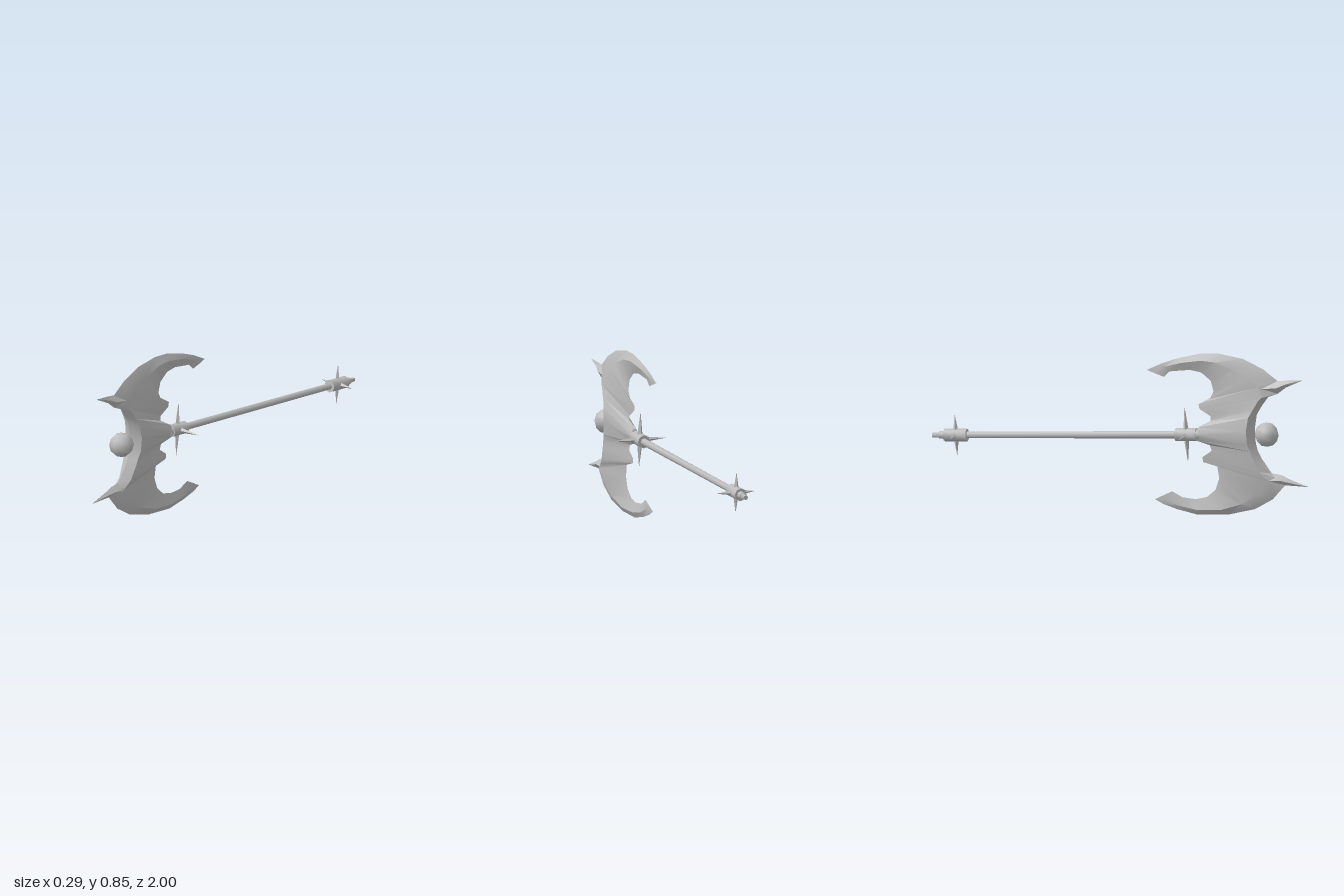
import * as THREE from 'three';
import { toCreasedNormals } from 'three/addons/utils/BufferGeometryUtils.js';

const steel = new THREE.MeshStandardMaterial({ color: 0xbcbcbc });
steel.name = 'steel';

function add(parent, geometry, name) {
  const mesh = new THREE.Mesh(geometry, steel);
  mesh.name = name;
  parent.add(mesh);
  return mesh;
}

// Loft through rings of equal length, sharp edges kept
function loft(rings) {
  const n = rings[0].length, index = [];
  for (let i = 0; i < rings.length - 1; i++) {
    for (let j = 0; j < n; j++) {
      const a = i * n + j, b = i * n + (j + 1) % n;
      index.push(a, a + n, b + n, a, b + n, b);
    }
  }
  const g = new THREE.BufferGeometry();
  g.setAttribute('position', new THREE.Float32BufferAttribute(rings.flat(2), 3));
  g.setIndex(index);
  return toCreasedNormals(g, 0.6);
}

// Blade stations, top tip to bottom tip:
// outer z, y, inner z, y, ridge position from outer to inner, half thickness, back half thickness
const upper = [
  [0.14, 0.74, 0.23, 0.71, 0.5, 0.002, 0],
  [0.22, 0.78, 0.26, 0.74, 0.4, 0.008, 0],
  [0.30, 0.81, 0.37, 0.755, 0.35, 0.014, 0],
  [0.43, 0.845, 0.43, 0.745, 0.35, 0.019, 0],
  [0.52, 0.85, 0.48, 0.705, 0.3, 0.022, 0],
  [0.65, 0.83, 0.495, 0.65, 0.3, 0.025, 0],
  [0.755, 0.785, 0.475, 0.61, 0.25, 0.028, 0],
  [0.835, 0.727, 0.415, 0.58, 0.22, 0.03, 0],
  [0.835, 0.66, 0.42, 0.555, 0.18, 0.034, 0],
  [0.785, 0.64, 0.48, 0.52, 0.14, 0.038, 0],
  [0.75, 0.59, 0.48, 0.497, 0.12, 0.044, 0],
  [0.725, 0.545, 0.415, 0.46, 0.1, 0.05, 0.01],
];
const lower = [
  [0.714, 0.47, 0.405, 0.423, 0.1, 0.055, 0.022],
  [0.72, 0.395, 0.41, 0.39, 0.1, 0.052, 0.01],
  [0.73, 0.36, 0.475, 0.37, 0.1, 0.048, 0],
  [0.75, 0.32, 0.485, 0.342, 0.12, 0.045, 0],
  [0.805, 0.245, 0.435, 0.305, 0.15, 0.038, 0],
  [0.86, 0.215, 0.44, 0.28, 0.2, 0.032, 0],
  [0.875, 0.187, 0.515, 0.262, 0.22, 0.029, 0],
  [0.81, 0.11, 0.525, 0.2, 0.28, 0.026, 0],
  [0.715, 0.053, 0.505, 0.14, 0.3, 0.023, 0],
  [0.57, 0.015, 0.46, 0.10, 0.3, 0.02, 0],
  [0.41, 0.005, 0.40, 0.085, 0.35, 0.016, 0],
  [0.30, 0.027, 0.33, 0.09, 0.35, 0.012, 0],
  [0.23, 0.048, 0.275, 0.118, 0.4, 0.008, 0],
  [0.185, 0.07, 0.185, 0.072, 0.5, 0, 0],
];

function bladeRing([oz, oy, iz, iy, t, h, hb]) {
  const rz = oz + (iz - oz) * t, ry = oy + (iy - oy) * t;
  return [[0, oy, oz], [h, ry, rz], [hb, iy, iz], [-hb, iy, iz], [-h, ry, rz]];
}

// Diamond section for the horns: z, half width, top y, bottom y
function hornRing([z, w, top, bottom]) {
  const mid = (top + bottom) / 2;
  return [[0, top, z], [-w, mid, z], [0, bottom, z], [w, mid, z]];
}

// Collar with four thin spikes standing out from the shaft
function spikedCollar(parent, z, radius, length, spikeLength, name) {
  const collar = new THREE.Group();
  collar.name = name;
  collar.position.z = z;
  parent.add(collar);
  const ring = new THREE.CylinderGeometry(radius, radius, length, 8).rotateX(Math.PI / 2);
  add(collar, toCreasedNormals(ring, 0.9), name + 'Ring');
  for (let i = 0; i < 4; i++) {
    const cone = new THREE.ConeGeometry(0.017, spikeLength, 4);
    cone.translate(0, spikeLength / 2, 0);
    add(collar, toCreasedNormals(cone, 0.4), 'spike').rotation.z = i * Math.PI / 2;
  }
}

export function createModel() {
  const axe = new THREE.Group();
  axe.name = 'battleAxe';

  // Double crescent blade
  add(axe, loft([...upper, ...lower].map(bladeRing)), 'blade');

  // Forward horns
  const horns = [
    ['upperHorn', [[0.965, 0, 0.738, 0.736], [0.88, 0.012, 0.732, 0.696],
      [0.835, 0.022, 0.727, 0.66], [0.76, 0.026, 0.72, 0.65]]],
    ['lowerHorn', [[0.998, 0, 0.188, 0.186], [0.9, 0.012, 0.22, 0.187],
      [0.86, 0.022, 0.238, 0.187], [0.78, 0.028, 0.25, 0.17]]],
  ];
  for (const [name, stations] of horns) add(axe, loft(stations.map(hornRing)), name);

  // Round boss in front of the blade
  add(axe, new THREE.SphereGeometry(0.063, 8, 6), 'boss').position.set(0, 0.445, 0.778);

  // Sloping handle, built along its own z
  const handle = new THREE.Group();
  handle.name = 'handle';
  handle.position.set(0, 0.417, 0.35);
  handle.rotation.x = -0.0655;
  axe.add(handle);

  const shaft = new THREE.CylinderGeometry(0.019, 0.017, 1.3, 8).rotateX(Math.PI / 2);
  add(handle, shaft, 'shaft').position.z = -0.61;
  const neck = new THREE.CylinderGeometry(0.026, 0.03, 0.06, 8).rotateX(Math.PI / 2);
  add(handle, neck, 'neck').position.z = 0.04;

  spikedCollar(handle, 0, 0.034, 0.11, 0.146, 'frontCollar');
  spikedCollar(handle, -1.227, 0.033, 0.12, 0.106, 'rearCollar');

  // Stepped pommel
  const pommel = new THREE.LatheGeometry([
    [0, 0], [0.012, 0], [0.013, 0.032], [0.019, 0.036], [0.021, 0.08],
  ].map(([r, l]) => new THREE.Vector2(r, l)), 8).rotateX(Math.PI / 2);
  add(handle, toCreasedNormals(pommel, 0.9), 'pommel').position.z = -1.352;

  return axe;
}
